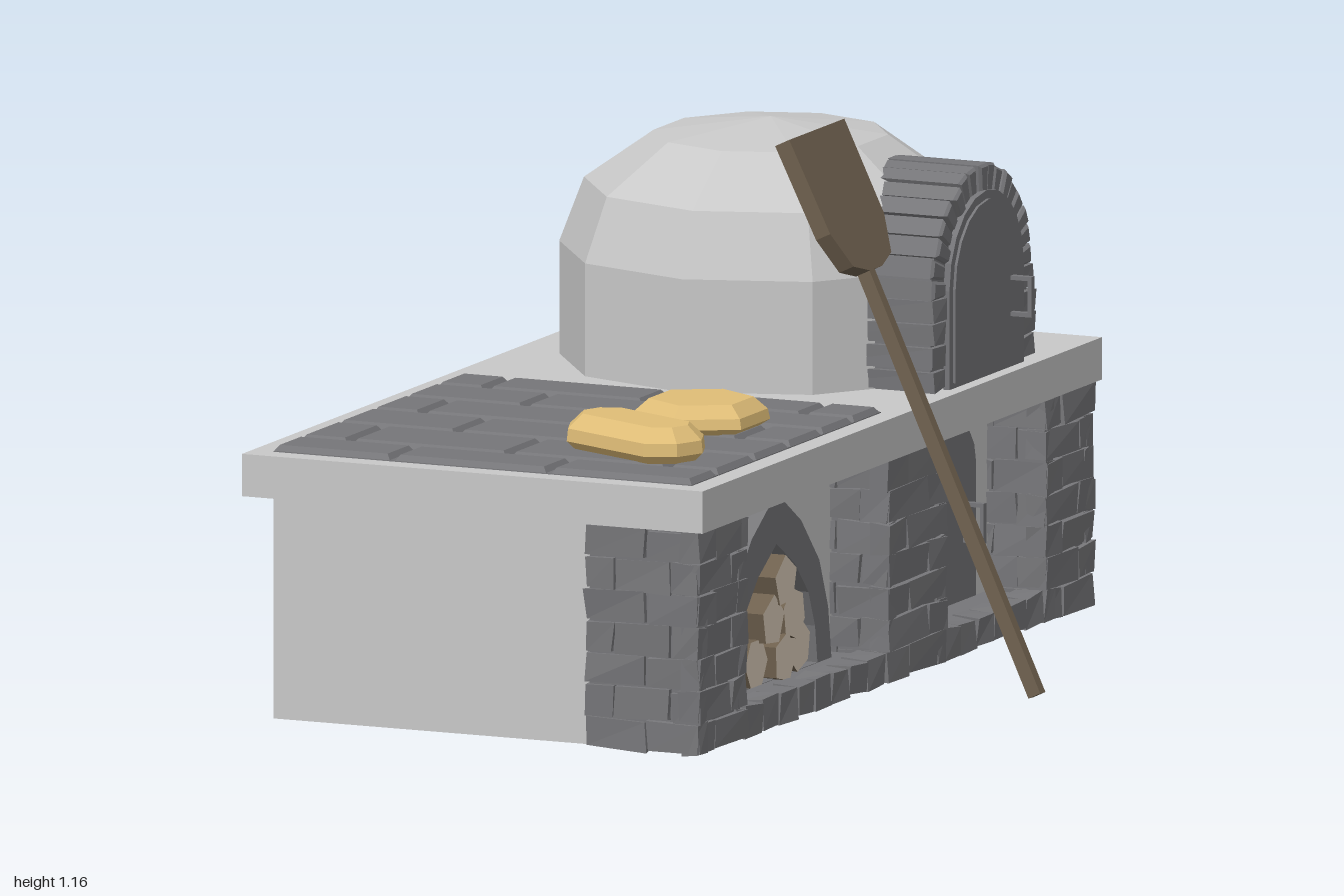
import * as THREE from 'three';

const mat = (name, color) => {
  const m = new THREE.MeshStandardMaterial({ color });
  m.name = name;
  return m;
};

let seed = 7;
const rnd = () => {
  seed = (seed * 16807) % 2147483647;
  return seed / 2147483647 - 0.5;
};

// Faceted normals for any geometry
const facet = (g) => {
  const n = g.index ? g.toNonIndexed() : g;
  n.computeVertexNormals();
  return n;
};

// Box given by its limits
const span = (x0, x1, y0, y1, z0, z1) =>
  new THREE.BoxGeometry(x1 - x0, y1 - y0, z1 - z0).translate((x0 + x1) / 2, (y0 + y1) / 2, (z0 + z1) / 2);

// Rough hewn brick: a box with its eight corners nudged
function brick(x0, x1, y0, y1, z0, z1, rough = 0.009) {
  const c = [...Array(8)].map(() => [rnd() * rough, rnd() * rough, rnd() * rough]);
  const g = new THREE.BoxGeometry(x1 - x0, y1 - y0, z1 - z0), p = g.attributes.position;
  for (let i = 0; i < p.count; i++) {
    const [x, y, z] = [p.getX(i), p.getY(i), p.getZ(i)];
    const o = c[(x > 0) + 2 * (y > 0) + 4 * (z > 0)];
    p.setXYZ(i, x + o[0], y + o[1], z + o[2]);
  }
  return facet(g.translate((x0 + x1) / 2, (y0 + y1) / 2, (z0 + z1) / 2));
}

// Tile with a sloped rim
function tile(x0, x1, y0, y1, z0, z1, slope) {
  const g = span(x0, x1, y0, y1, z0, z1), p = g.attributes.position;
  const cx = (x0 + x1) / 2, cz = (z0 + z1) / 2, cy = (y0 + y1) / 2;
  for (let i = 0; i < p.count; i++) {
    if (p.getY(i) < cy) continue;
    p.setX(i, p.getX(i) - Math.sign(p.getX(i) - cx) * slope);
    p.setZ(i, p.getZ(i) - Math.sign(p.getZ(i) - cz) * slope);
  }
  return facet(g);
}

// Side-on outline (u = -z, v = y) pushed out along +x, optionally with a chamfer
const sideways = (shape, x0, x1, chamfer = 0) =>
  new THREE.ExtrudeGeometry(shape, {
    depth: x1 - x0 - 2 * chamfer, bevelEnabled: chamfer > 0, bevelSegments: 1,
    bevelThickness: chamfer, bevelSize: chamfer, bevelOffset: -chamfer,
  }).rotateY(Math.PI / 2).translate(x0 + chamfer, 0, 0);

const poly = (pts) => new THREE.Shape(pts.map(([x, y]) => new THREE.Vector2(x, y)));

// Round-topped outline
function archPts(u, y0, spring, rx, ry, n = 10) {
  const pts = [[u - rx, y0], [u + rx, y0]];
  for (let i = 0; i <= n; i++) {
    const a = (Math.PI * i) / n;
    pts.push([u + rx * Math.cos(a), spring + ry * Math.sin(a)]);
  }
  return pts;
}

// Pointed outline
const pointedPts = (u, y0, w, h) => {
  const side = [[1, 0], [0.94, 0.28], [0.78, 0.55], [0.45, 0.8]];
  return [...side.map(([a, b]) => [u + a * w, y0 + b * h]), [u, y0 + h],
    ...side.reverse().map(([a, b]) => [u - a * w, y0 + b * h])];
};

export function createModel() {
  const root = new THREE.Group();
  const plaster = mat('plaster', 0xc8c8c8), stone = mat('stone', 0x767679);
  const bread = mat('bread crust', 0xdfbd77), wood = mat('dark wood', 0x6e604e), cut = mat('cut wood', 0xdfd0bc);
  const group = (name, parent = root) => {
    const g = new THREE.Group();
    g.name = name;
    parent.add(g);
    return g;
  };
  const add = (name, geo, m, parent = root) => {
    const mesh = new THREE.Mesh(geo, m);
    mesh.name = name;
    parent.add(mesh);
    return mesh;
  };

  // Counter slab and hollow base
  add('counterSlab', span(-0.693, 0.368, 0.49, 0.58, -1, 1), plaster);
  const base = group('base');
  add('backWall', span(-0.643, -0.635, 0.013, 0.49, -0.95, 0.95), plaster, base);
  for (const s of [-1, 1])
    add('endWall', span(-0.643, 0.22, 0.013, 0.49, s * 0.946 - 0.004, s * 0.946 + 0.004), plaster, base);
  add('facade', span(0.205, 0.22, 0.06, 0.49, -0.95, 0.95), plaster, base);
  for (let i = 0; i < 12; i++) {
    const z = -0.94 + i * 0.1567;
    add('floorPlank', span(-0.635, 0.2, 0.17 + rnd() * 0.01, 0.195, z, z + 0.154), stone, base);
  }

  // Hollow brick pillars, wrapping further back on the outer ends of the base
  for (const [z0, z1, end] of [[0.752, 0.992, 1], [-0.25, 0.042, 0], [-0.987, -0.745, -1]]) {
    const pillar = group('pillar');
    add('pillarCore', span(0.325, 0.345, 0.02, 0.49, z0 + 0.01, z1 - 0.01), stone, pillar);
    for (const [z, s] of [[z0, -1], [z1, 1]])
      add('pillarCore', span(s === end ? 0.1 : 0.2, 0.345, 0.02, 0.49, z - s * 0.018 - 0.008, z - s * 0.018 + 0.008), stone, pillar);
    for (let r = 0; r < 7; r++) {
      const y = 0.015 + r * 0.068, top = y + 0.0645, odd = r % 2;
      const split = z0 + (z1 - z0) * (odd ? 0.32 : 0.66), corner = odd ? 0.29 : 0.235;
      add('frontBrick', brick(0.312, 0.356, y, top, z0, split - 0.002), stone, pillar);
      add('frontBrick', brick(0.312, 0.356, y, top, split + 0.002, z1), stone, pillar);
      for (const [z, s] of [[z0, -1], [z1, 1]]) {
        const a = Math.min(z, z - s * 0.042), b = a + 0.042;
        const joints = s === end ? [0.092, odd ? 0.16 : corner, odd ? corner : 0.356] : [0.2, corner];
        if (odd || s !== end) joints.push(0.356);
        for (let i = 0; i + 1 < joints.length; i++)
          add('sideBrick', brick(joints[i] + 0.002, joints[i + 1] - 0.002, y, top, a, b), stone, pillar);
      }
    }
  }

  // Brick sills between the pillars
  for (const [z0, z1, n] of [[0.045, 0.75, 8], [-0.745, -0.25, 6]]) {
    add('sillShelf', span(0.215, 0.31, 0.06, 0.072, z0, z1), stone);
    for (let i = 0; i < n; i++) {
      const w = (z1 - z0) / n;
      add('sillBrick', brick(0.29, 0.35, 0.014, 0.077, z0 + i * w + 0.002, z0 + (i + 1) * w - 0.002), stone);
    }
  }

  // Firewood niche
  const niche = group('firewoodNiche');
  const ring = poly(pointedPts(-0.395, 0.075, 0.275, 0.395));
  ring.holes.push(new THREE.Path(poly(pointedPts(-0.395, 0.076, 0.205, 0.285)).getPoints()));
  add('pointedArch', sideways(ring, 0.2, 0.26), stone, niche);
  add('nicheBack', sideways(poly(pointedPts(-0.395, 0.075, 0.22, 0.3)), 0.212, 0.224), stone, niche);
  for (const z of [0.16, 0.61])
    add('nicheCheek', span(-0.13, 0.205, 0.08, 0.18, z, z + 0.02), stone, niche);
  add('nicheEnd', span(-0.15, -0.13, 0.08, 0.18, 0.16, 0.63), stone, niche);
  for (let i = 0; i < 4; i++)
    add('nicheSlat', span(-0.13, 0.205, 0.1, 0.115, 0.19 + i * 0.107, 0.27 + i * 0.107), stone, niche);
  [[0.505, 0.125], [0.395, 0.12], [0.295, 0.13], [0.455, 0.208], [0.35, 0.208], [0.4, 0.285]].forEach(([z, y], i) => {
    const g = facet(new THREE.CylinderGeometry(0.056, 0.056, 0.38, 6 - (i % 2)).rotateY(i * 0.7).rotateZ(-Math.PI / 2));
    g.translate(0.085 + rnd() * 0.03, y, z);
    const half = g.attributes.position.count / 2;
    g.clearGroups();
    g.addGroup(0, half, 0);
    g.addGroup(half, half, 1);
    add('log', g, [wood, cut], niche);
  });

  // Doors with square pulls
  function door(name, x, y0, spring, ry, hy) {
    const d = group(name);
    add('doorFrame', sideways(poly(archPts(0.485, y0, spring, 0.186, ry)), x, x + 0.014), stone, d);
    add('doorPanel', sideways(poly(archPts(0.485, y0 + 0.012, spring, 0.168, ry - 0.018)), x, x + 0.02), stone, d);
    const hx = x + 0.02;
    for (const y of [hy, hy + 0.077])
      add('pullArm', span(hx - 0.005, hx + 0.048, y, y + 0.009, -0.607, -0.592), stone, d);
    add('pullBar', span(hx + 0.039, hx + 0.048, hy, hy + 0.086, -0.607, -0.592), stone, d);
  }
  door('ovenDoor', 0.325, 0.58, 0.79, 0.185, 0.69);
  door('lowerDoor', 0.215, 0.075, 0.36, 0.125, 0.2);

  // Ten-sided oven dome
  const profile = [[0.446, 0.58], [0.446, 0.82], [0.394, 0.957], [0.247, 1.06], [0, 1.094]];
  const lathe = (pts, n, turn = 0) => new THREE.LatheGeometry(pts.map(([x, y]) => new THREE.Vector2(x, y)), n, turn);
  add('ovenDome', facet(lathe(profile, 10)), plaster).position.set(-0.16, 0, -0.49);

  // Oven mouth with a ring of chamfered stones
  const mouth = group('ovenMouth');
  add('mouthCore', sideways(poly(archPts(0.49, 0.58, 0.775, 0.24, 0.24, 16)), 0.05, 0.318), stone, mouth);
  const N = 17;
  for (let i = 0; i < N; i++) {
    const a = (Math.PI * (i + 0.05)) / N, b = (Math.PI * (i + 0.95)) / N, r = 0.252 + rnd() * 0.006;
    const wedge = [[0.187, a], [r, a], [r, b], [0.187, b]]
      .map(([q, t]) => [0.49 + q * Math.cos(t), 0.775 + q * Math.sin(t)]);
    add('archStone', sideways(poly(wedge), 0.07, 0.329 + rnd() * 0.008, 0.006), stone, mouth);
  }
  for (const z of [-0.745, -0.303])
    for (let i = 0; i < 4; i++)
      add('jambStone', brick(0.07, 0.33, 0.584 + i * 0.049, 0.627 + i * 0.049, z, z + 0.068, 0.008), stone, mouth);

  // Tiled worktop in running bond
  const top = group('worktop');
  add('tileBed', span(-0.643, 0.32, 0.575, 0.582, 0.002, 0.95), stone, top);
  const rows = [0.002, 0.14, 0.295, 0.46, 0.632, 0.82, 0.955];
  for (let r = 0; r < 6; r++) {
    const cuts = r % 2 ? [-0.648, -0.37, -0.01, 0.325] : [-0.648, -0.53, -0.165, 0.2, 0.325];
    for (let i = 0; i + 1 < cuts.length; i++)
      add('tile', tile(cuts[i] + 0.003, cuts[i + 1] - 0.003, 0.578, 0.594, rows[r] + 0.003, rows[r + 1] - 0.003, 0.012), stone, top);
  }

  // Loaves: one round, one stretched
  add('roundLoaf', facet(lathe([[0, 0], [0.12, 0], [0.145, 0.015], [0.14, 0.037], [0.11, 0.063], [0, 0.063]], 6)), bread)
    .position.set(0.075, 0.592, 0.37);
  const long = lathe([[0, 0], [0.074, 0], [0.093, 0.018], [0.09, 0.045], [0.058, 0.075], [0, 0.075]], 8, Math.PI / 8);
  const lp = long.attributes.position;
  for (let i = 0; i < lp.count; i++)
    if (Math.abs(lp.getX(i)) > 0.001) lp.setX(i, lp.getX(i) + Math.sign(lp.getX(i)) * 0.086);
  const loaf = add('longLoaf', facet(long), bread);
  loaf.position.set(0.08, 0.593, 0.708);
  loaf.rotation.y = -0.42;

  // Leaning bread peel: the handle drifts sideways, the blade stays square
  const peel = group('breadPeel');
  const foot = new THREE.Vector3(0.678, 0.006, 0), tip = new THREE.Vector3(0.128, 1.152, -0.058);
  const handle = add('peelHandle', span(-0.015, 0.015, 0, foot.distanceTo(tip) - 0.24, -0.013, 0.013), wood, peel);
  handle.position.copy(foot);
  handle.quaternion.setFromUnitVectors(new THREE.Vector3(0, 1, 0), tip.clone().sub(foot).normalize());
  const half = [[0.03, -0.316], [0.095, -0.296], [0.135, -0.215], [0.138, 0]];
  const outline = [...half, ...half.map(([u, v]) => [-u, v]).reverse()];
  const blade = add('peelBlade', sideways(poly(outline), -0.018, 0.018), wood, peel);
  blade.position.copy(tip);
  blade.rotation.z = Math.atan2(foot.x - tip.x, tip.y - foot.y);

  return root;
}
